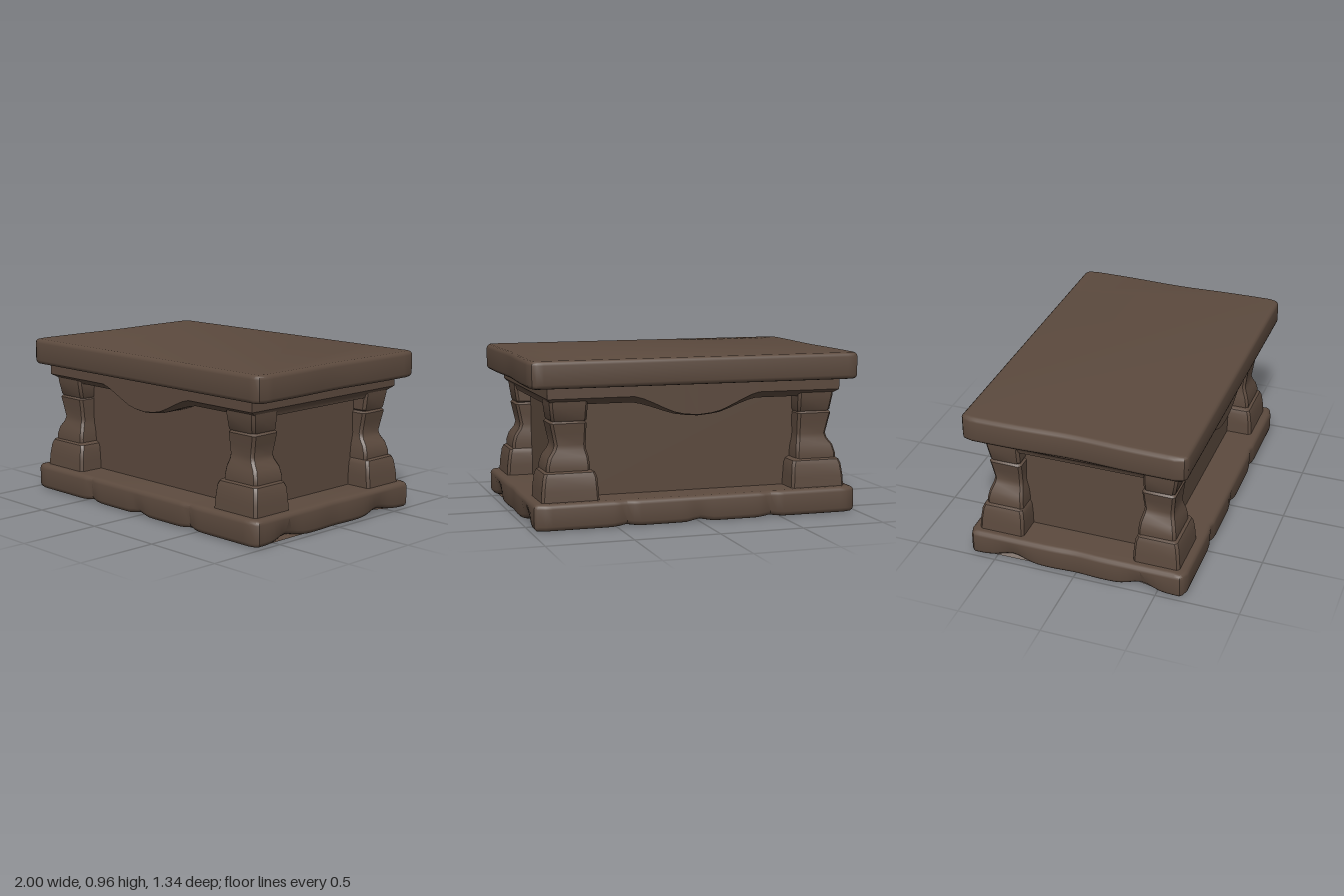
import * as THREE from 'three';
import { toCreasedNormals } from 'three/addons/utils/BufferGeometryUtils.js';

const stone = new THREE.MeshStandardMaterial({ color: 0x5c4a3e });
stone.name = 'brown stone';

function mesh(name, geometry) {
  const m = new THREE.Mesh(geometry, stone);
  m.name = name;
  return m;
}

const bump = (t, centre, width) => Math.exp(-(((t - centre) / width) ** 2));

// Slab with softened edges; the inset functions wear its long and short sides
function slab(hx, hz, height, soft, insetLong, insetShort) {
  const pts = [];
  const add = (x, y) => pts.push(new THREE.Vector2(x, y));
  const step = 0.04, c = 0.05;
  const nx = Math.round((hx - c) / step), nz = Math.round((hz - c) / step);
  for (let i = -nx; i <= nx; i++) add(i * step, -hz + insetLong(i * step));
  add(hx - 0.015, -hz + 0.015);
  for (let i = -nz; i <= nz; i++) add(hx - insetShort(i * step), i * step);
  add(hx - 0.015, hz - 0.015);
  for (let i = nx; i >= -nx; i--) add(i * step, hz - insetLong(i * step));
  add(-hx + 0.015, hz - 0.015);
  for (let i = nz; i >= -nz; i--) add(-hx + insetShort(i * step), i * step);
  add(-hx + 0.015, -hz + 0.015);
  const g = new THREE.ExtrudeGeometry(new THREE.Shape(pts), {
    depth: height - 2 * soft, bevelThickness: soft, bevelSize: soft, bevelOffset: -soft, bevelSegments: 3,
  });
  return g.rotateX(-Math.PI / 2).translate(0, soft, 0);
}

// Surface through equal-length rows of points
function skin(rows, closed, caps) {
  const v = [];
  const tri = (a, b, c) => v.push(...a, ...b, ...c);
  const n = rows[0].length;
  for (let i = 0; i < rows.length - 1; i++) {
    for (let j = 0; j < (closed ? n : n - 1); j++) {
      const k = (j + 1) % n;
      const [a, b, c, d] = [rows[i][j], rows[i][k], rows[i + 1][k], rows[i + 1][j]];
      tri(a, c, b);
      tri(a, d, c);
    }
  }
  if (caps) {
    const last = rows[rows.length - 1];
    for (let j = 1; j < n - 1; j++) {
      tri(rows[0][0], rows[0][j], rows[0][j + 1]);
      tri(last[0], last[j + 1], last[j]);
    }
  }
  const g = new THREE.BufferGeometry();
  g.setAttribute('position', new THREE.Float32BufferAttribute(v, 3));
  return toCreasedNormals(g, 0.6);
}

// Stacked chamfered rectangles: [y, inner x, outer x, inner z, outer z]
function block(sections, sx, sz) {
  const k = 0.015;
  return skin(sections.map(([y, xi, xo, zi, zo]) => {
    const x0 = Math.min(xi * sx, xo * sx), x1 = Math.max(xi * sx, xo * sx);
    const z0 = Math.min(zi * sz, zo * sz), z1 = Math.max(zi * sz, zo * sz);
    return [[x0 + k, z0], [x1 - k, z0], [x1, z0 + k], [x1, z1 - k],
      [x1 - k, z1], [x0 + k, z1], [x0, z1 - k], [x0, z0 + k]].map(([x, z]) => [x, y, z]);
  }), true, true);
}

const footSections = [
  [0.14, 0.59, 0.93, 0.34, 0.62], [0.22, 0.595, 0.925, 0.34, 0.615],
  [0.29, 0.6, 0.915, 0.345, 0.605], [0.315, 0.61, 0.905, 0.355, 0.595], [0.327, 0.63, 0.885, 0.37, 0.575],
];
const shaftSections = [
  [0.32, 0.635, 0.89, 0.355, 0.58], [0.35, 0.635, 0.89, 0.355, 0.58], [0.4, 0.64, 0.875, 0.36, 0.57],
  [0.44, 0.65, 0.845, 0.37, 0.555], [0.47, 0.652, 0.835, 0.375, 0.55],
  [0.54, 0.65, 0.85, 0.37, 0.558], [0.595, 0.65, 0.862, 0.368, 0.565], [0.607, 0.66, 0.852, 0.378, 0.555],
];
const capitalSections = [
  [0.602, 0.655, 0.848, 0.385, 0.553], [0.615, 0.648, 0.856, 0.375, 0.562],
  [0.7, 0.645, 0.868, 0.375, 0.578], [0.79, 0.645, 0.872, 0.375, 0.582],
];

// Front frieze: bevelled moulding that swells into a hanging curve at the centre
function swagFrieze() {
  const rows = [];
  const hang = [[0, 0.615], [0.08, 0.622], [0.14, 0.63], [0.2, 0.648], [0.27, 0.672], [0.33, 0.69], [0.38, 0.7], [0.89, 0.7]];
  const xs = hang.map(p => p[0]);
  const all = [...xs.slice(1).reverse().map(x => -x), ...xs];
  for (const x of all) {
    const bottom = hang.find(p => p[0] === Math.abs(x))[1];
    const side = Math.min(1, Math.max(0, (Math.abs(x) - 0.1) / 0.26));
    const zLow = 0.605 - 0.045 * side;
    const yBreak = bottom + 0.006 + 0.034 * side;
    const end = Math.abs(x) > 0.8 ? Math.sign(x) : 0;
    rows.push([[x, 0.81, 0.61], [x, yBreak, 0.61], [x - end * 0.03, bottom + 0.01, zLow],
      [x - end * 0.03, bottom, zLow - 0.008], [x - end * 0.03, bottom, 0.44]]);
  }
  return skin(rows, false, false);
}

// Side frieze: straight bevelled moulding
function sideFrieze() {
  const rows = [-1, 1].map(s => [[s * 0.61, 0.81, 0.89], [s * 0.61, 0.74, 0.89],
    [s * 0.56, 0.71, 0.86], [s * 0.56, 0.69, 0.855], [s * 0.56, 0.69, 0.74]]);
  return skin(rows, false, false);
}

// Plinth with block seams and chipped lower edges
function plinth() {
  const seam = x => 0.01 * (bump(x, 0.44, 0.02) + bump(x, -0.44, 0.02));
  const g = slab(0.98, 0.67, 0.155, 0.028, seam, z => 0.008 * bump(z, 0, 0.1));
  const p = g.attributes.position;
  for (let i = 0; i < p.count; i++) {
    const x = p.getX(i), y = p.getY(i), z = p.getZ(i);
    if (y > 0.06) continue;
    if (Math.abs(x) > 0.93) {
      const c = bump(z, 0.4, 0.09) + bump(z, -0.4, 0.1);
      p.setX(i, x - Math.sign(x) * 0.025 * c);
      p.setY(i, y + 0.025 * c);
    } else if (Math.abs(z) > 0.62) {
      const c = bump(x, 0, 0.05) + 0.6 * (bump(x, 0.44, 0.05) + bump(x, -0.44, 0.05));
      p.setZ(i, z - Math.sign(z) * 0.012 * c);
      p.setY(i, y + 0.015 * c);
    }
  }
  return toCreasedNormals(g, 0.6);
}

export function createModel() {
  const model = new THREE.Group();
  model.name = 'stoneAltar';
  model.add(mesh('plinth', plinth()));

  // Recessed body
  const body = mesh('body', new THREE.BoxGeometry(1.54, 0.68, 0.92));
  body.position.y = 0.47;
  model.add(body);

  // Corner pillars
  for (const sx of [-1, 1]) for (const sz of [-1, 1]) {
    const pillar = new THREE.Group();
    pillar.name = `${sz > 0 ? 'front' : 'back'}${sx > 0 ? 'Left' : 'Right'}Pillar`;
    pillar.add(mesh('foot', block(footSections, sx, sz)));
    pillar.add(mesh('shaft', block(shaftSections, sx, sz)));
    pillar.add(mesh('capital', block(capitalSections, sx, sz)));
    model.add(pillar);
  }

  // Friezes under the top
  stone.side = THREE.DoubleSide;
  for (const [i, end] of ['front', 'back'].entries()) {
    const f = mesh(`${end}Frieze`, swagFrieze());
    f.rotation.y = i * Math.PI;
    model.add(f);
  }
  for (const s of [1, -1]) {
    const g = sideFrieze();
    // Turn the moulding profile from z-along to face the side
    const p = g.attributes.position;
    for (let i = 0; i < p.count; i++) p.setXYZ(i, p.getZ(i), p.getY(i), -p.getX(i));
    const n = g.attributes.normal;
    for (let i = 0; i < n.count; i++) n.setXYZ(i, n.getZ(i), n.getY(i), -n.getX(i));
    const f = mesh(s > 0 ? 'leftFrieze' : 'rightFrieze', g);
    f.rotation.y = s > 0 ? 0 : Math.PI;
    model.add(f);
  }

  // Table top, its short sides worn hollow
  const top = mesh('top', toCreasedNormals(
    slab(1, 0.667, 0.158, 0.025, () => 0, z => 0.015 * bump(z, 0, 0.25)), 0.6));
  top.position.y = 0.802;
  model.add(top);
  return model;
}
